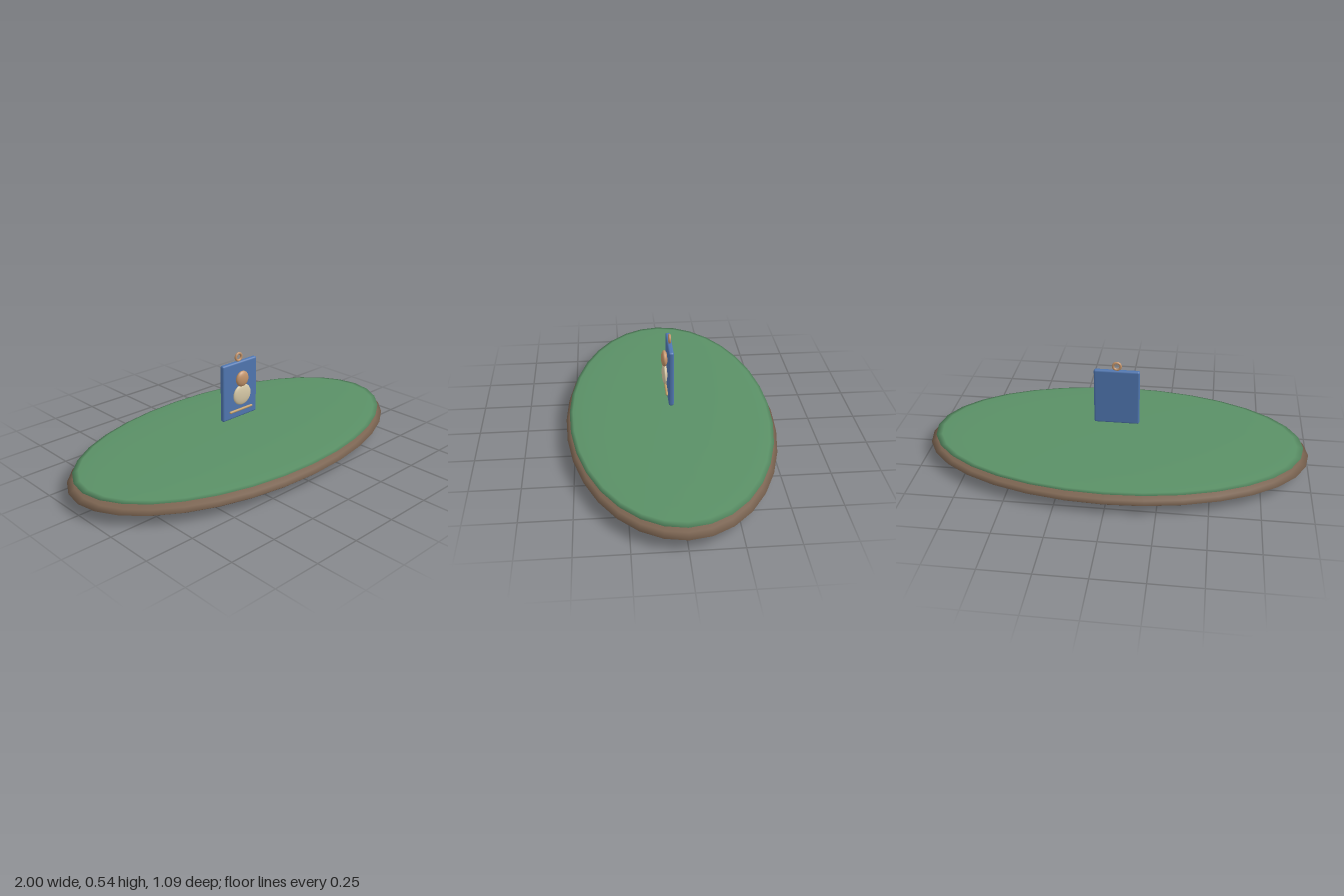
import * as THREE from 'three';
import { RoundedBoxGeometry } from 'three/addons/geometries/RoundedBoxGeometry.js';

const mat = (name, color) => {
  const m = new THREE.MeshStandardMaterial({ color });
  m.name = name;
  return m;
};

export function createModel() {
  const group = new THREE.Group();
  const earth = mat('earth brown', 0x7a6350);
  const grass = mat('grass green', 0x5a9066);
  const blue = mat('panel blue', 0x4f76b0);
  const tan = mat('tan', 0xc4946a);
  const cream = mat('cream', 0xd6c8a6);
  const brass = mat('brass', 0xc2a06c);

  const add = (name, geometry, material, x, y, z) => {
    const mesh = new THREE.Mesh(geometry, material);
    mesh.name = name;
    mesh.position.set(x, y, z);
    group.add(mesh);
    return mesh;
  };
  // Sphere squashed to three radii
  const ellipsoid = (rx, ry, rz, w, h) => new THREE.SphereGeometry(1, w, h).scale(rx, ry, rz);

  // Oval island: soil lens with a thin grass lens on top
  add('soilBase', ellipsoid(1, 0.059, 0.545, 32, 12), earth, 0, 0.059, 0);
  add('grassTop', ellipsoid(0.97, 0.018, 0.526, 32, 12), grass, 0, 0.103, 0);

  // Floating plaque with a hanging ring
  add('plaque', new RoundedBoxGeometry(0.236, 0.305, 0.026, 3, 0.01), blue, 0, 0.341, 0.001);
  add('hangingRing', new THREE.TorusGeometry(0.019, 0.0065, 10, 24), tan, 0, 0.515, 0.001);

  // Relief figure: round head over a wider body, and a bar below
  add('figureBody', ellipsoid(0.06, 0.056, 0.014, 24, 16), cream, 0, 0.318, 0.027);
  add('figureHead', ellipsoid(0.041, 0.042, 0.017, 24, 16), tan, 0, 0.404, 0.028);
  const bar = add('nameBar', new THREE.CapsuleGeometry(0.0065, 0.147, 4, 10), brass, 0, 0.233, 0.02);
  bar.rotation.z = Math.PI / 2;

  return group;
}
